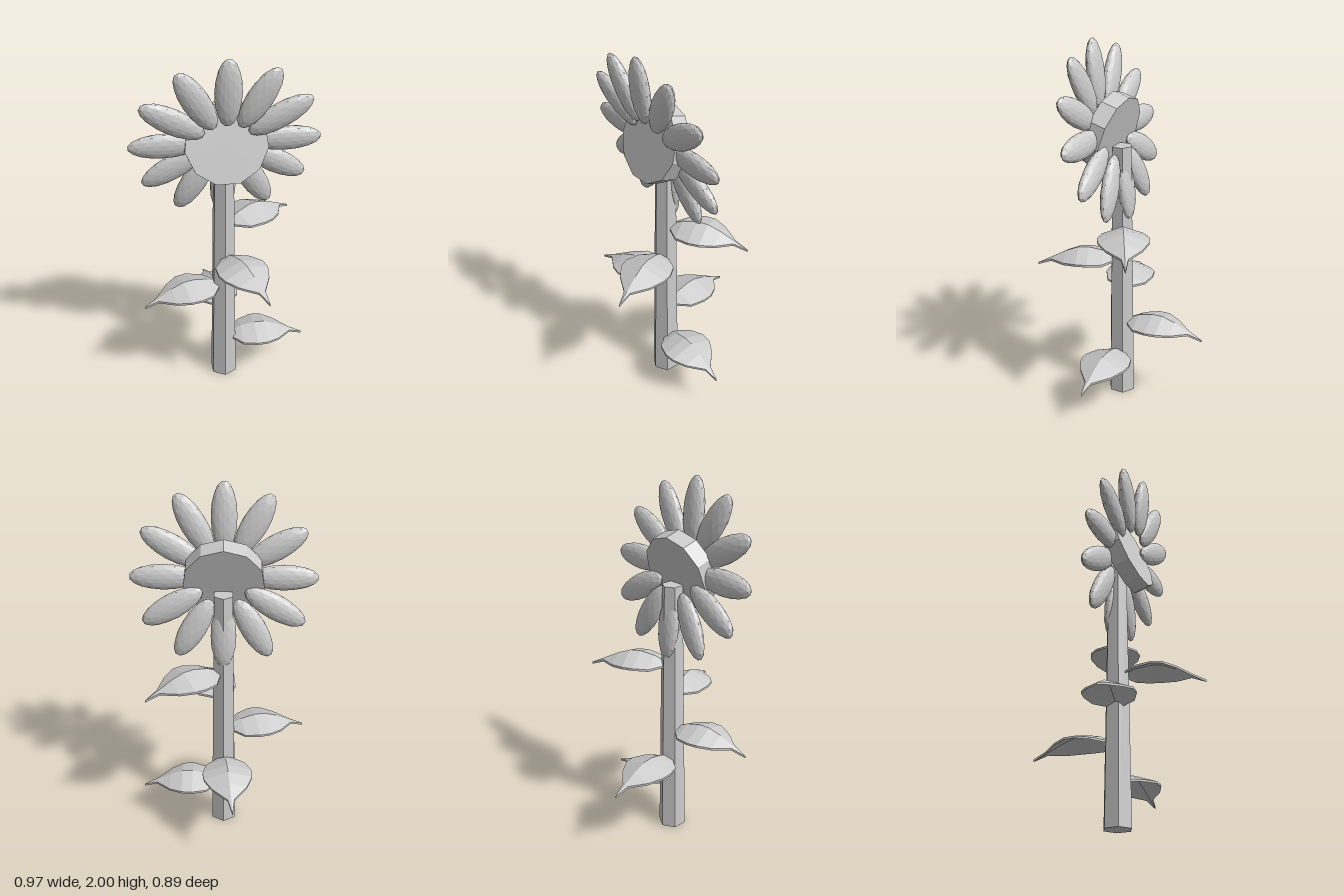
import * as THREE from 'three';

const grey = new THREE.MeshStandardMaterial({ color: 0xcccccc, flatShading: true });
grey.name = 'lightGrey';

function part(name, geometry) {
  const mesh = new THREE.Mesh(geometry, grey);
  mesh.name = name;
  return mesh;
}

// Leaf stations: distance from stem axis, half width, height of the midrib
const LEAF = [
  [0.035, 0.03, -0.005], [0.1, 0.11, 0.025], [0.18, 0.137, 0.042], [0.24, 0.133, 0.04],
  [0.31, 0.095, 0.015], [0.39, 0.018, -0.025], [0.465, 0.001, -0.062],
];

// Thin arched blade lofted from six-point cross-sections
function leafGeometry() {
  const thick = 0.012, pos = [], idx = [];
  for (const [r, w, y] of LEAF) {
    const e = y - 0.35 * w;
    pos.push(r, e, w, r, y, 0, r, e, -w);
    pos.push(r, e - thick, -w, r, y - thick, 0, r, e - thick, w);
  }
  for (let i = 0; i < LEAF.length - 1; i++) {
    for (let j = 0; j < 6; j++) {
      const a = i * 6 + j, b = i * 6 + (j + 1) % 6;
      idx.push(a, a + 6, b, b, a + 6, b + 6);
    }
  }
  // end caps
  const n = (LEAF.length - 1) * 6;
  for (let j = 1; j < 5; j++) {
    idx.push(0, j, j + 1);
    idx.push(n, n + j + 1, n + j);
  }
  const g = new THREE.BufferGeometry();
  g.setAttribute('position', new THREE.Float32BufferAttribute(pos, 3));
  g.setIndex(idx);
  const flat = g.toNonIndexed();
  flat.computeVertexNormals();
  return flat;
}

export function createModel() {
  const model = new THREE.Group();
  model.name = 'flower';

  // Tapered six-sided stem
  const stem = part('stem', new THREE.CylinderGeometry(0.056, 0.0775, 1.46, 6));
  stem.position.set(0, 0.73, 0.018);
  model.add(stem);

  // Flower centre, tilted back
  const disc = part('flowerCentre',
    new THREE.CylinderGeometry(0.212, 0.212, 0.092, 11).rotateY(Math.PI).rotateX(Math.PI / 2));
  disc.position.set(0, 1.525, 0.08);
  disc.rotation.x = -0.29;
  model.add(disc);

  // Twelve petals in a ring that leans forward at the top
  const petals = new THREE.Group();
  petals.name = 'petals';
  const petalGeo = new THREE.IcosahedronGeometry(1, 2).scale(0.068, 0.18, 0.038);
  for (let i = 0; i < 12; i++) {
    const a = (i / 12) * Math.PI * 2;
    const petal = part('petal', petalGeo);
    petal.position.set(0.308 * Math.sin(a), 1.528 + 0.293 * Math.cos(a), 0.08 + 0.088 * Math.cos(a));
    petal.rotation.set(0.12, 0, -a);
    petals.add(petal);
  }
  model.add(petals);

  // Five leaves spiralling up the stem
  const leaves = new THREE.Group();
  leaves.name = 'leaves';
  const leafGeo = leafGeometry();
  [0, 97, 194, 292, 30].forEach((deg, i) => {
    const leaf = part('leaf', leafGeo);
    leaf.position.set(0, 0.275 + 0.187 * i, 0.018);
    leaf.rotation.y = THREE.MathUtils.degToRad(deg);
    leaves.add(leaf);
  });
  model.add(leaves);

  return model;
}
